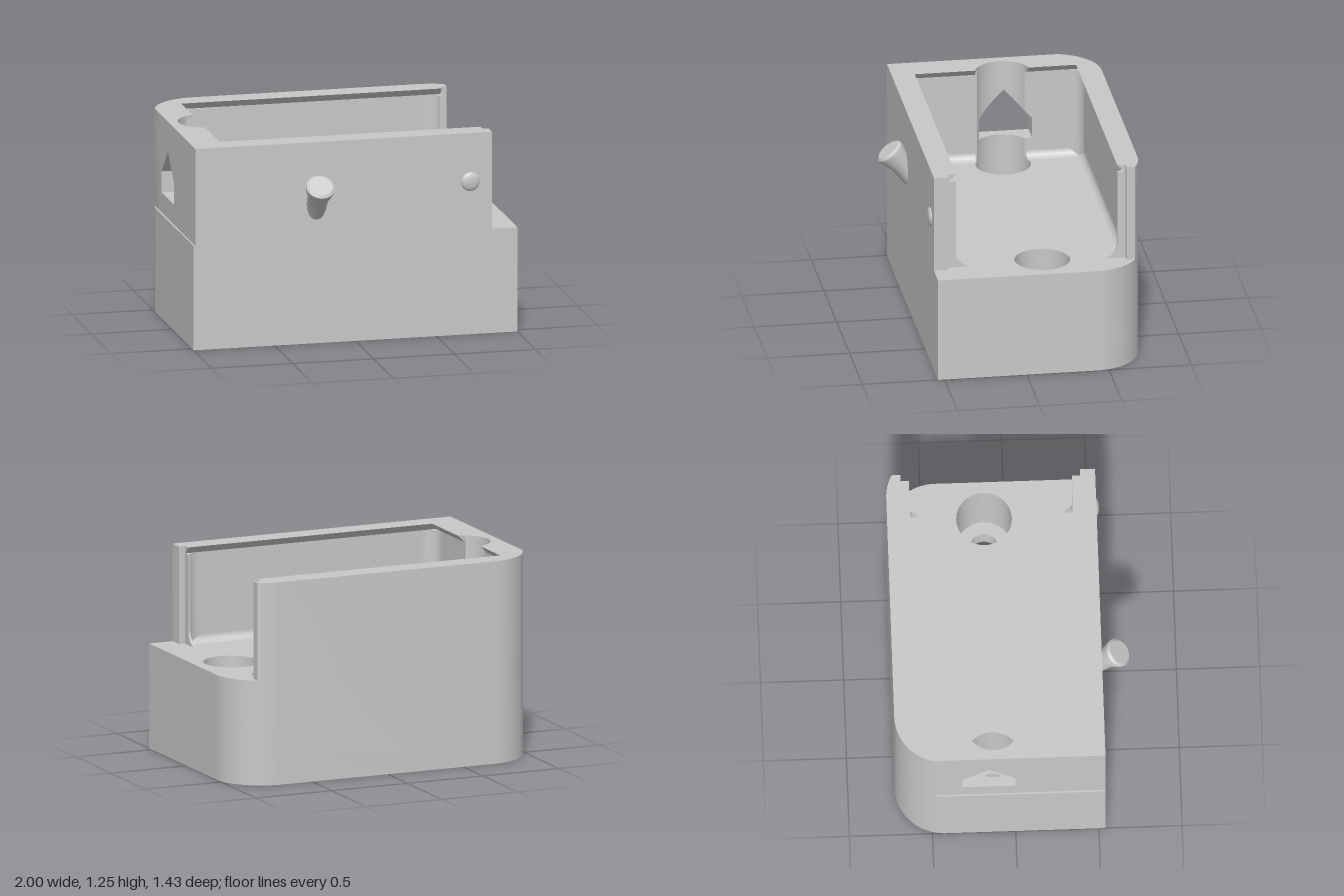
import * as THREE from 'three';
import { toCreasedNormals } from 'three/addons/utils/BufferGeometryUtils.js';

const STEP = 0.645, GROOVE = 1.2, TOP = 1.245;     // main heights
const BACK = -0.58, FRONT = 0.4, LEFT = -0.805;    // edges of the top opening
const UNDER = 0.045;                               // how far the cavity reaches under the rim
const BORE_X = 0.765, BORE_Z = -0.13, BORE_R = 0.167;
const WALL_X = -0.99;

export function createModel() {
  const group = new THREE.Group();
  const grey = new THREE.MeshStandardMaterial({ color: 0xc8c8c8 });
  grey.name = 'grey';

  const add = (name, geometry) => {
    const flat = geometry.index ? geometry.toNonIndexed() : geometry;
    const mesh = new THREE.Mesh(toCreasedNormals(flat, 0.5), grey);
    mesh.name = name;
    group.add(mesh);
  };

  // Horizontal slab from a plan shape whose coordinates are (x, z)
  const slab = (shape, y0, y1) => new THREE.ExtrudeGeometry(shape,
    { depth: y1 - y0, bevelEnabled: false, curveSegments: 24 })
    .rotateX(Math.PI / 2).translate(0, y1, 0);

  // Solid base with two counterbored screw holes
  const basePlan = (radius) => {
    const s = new THREE.Shape();
    s.moveTo(-1, 0.54);
    s.lineTo(-1, -0.42);
    s.absarc(-0.7, -0.42, 0.3, Math.PI, Math.PI * 1.5, false);
    s.lineTo(0.7, -0.72);
    s.absarc(0.7, -0.42, 0.3, -Math.PI / 2, 0, false);
    s.lineTo(1, 0.54);
    for (const side of [-1, 1]) {
      const hole = new THREE.Path();
      hole.absarc(side * BORE_X, BORE_Z, radius, 0, Math.PI * 2, true);
      s.holes.push(hole);
    }
    return s;
  };
  add('baseFloor', slab(basePlan(0.09), 0, 0.13));
  add('baseBlock', slab(basePlan(BORE_R), 0.13, STEP));

  // Back and front walls, each with its part of the end wall; d widens the cavity
  const backPlan = (d) => {
    const s = new THREE.Shape();
    s.moveTo(LEFT - d, -0.33);
    s.lineTo(WALL_X, -0.33);
    s.absarc(-0.7, -0.42, 0.3, Math.PI + 0.259, Math.PI * 1.5, false);
    s.lineTo(0.7, -0.72);
    s.absarc(0.7, -0.42, 0.3, -Math.PI / 2, -1.066, false);
    s.lineTo(0.845, -0.63);
    s.lineTo(0.805, -0.63);
    s.lineTo(0.805, BACK - d);
    s.lineTo(LEFT - d, BACK - d);
    return s;
  };
  const frontPlan = (d) => new THREE.Shape([[WALL_X, 0.04], [LEFT - d, 0.04], [LEFT - d, FRONT + d],
    [0.805, FRONT + d], [0.805, 0.45], [0.845, 0.45], [0.845, 0.54], [WALL_X, 0.54]]
    .map(p => new THREE.Vector2(...p)));

  // Rim whose lower inner edge is cut back into a dovetail lid groove
  const rim = (shape) => {
    const g = slab(shape, GROOVE, TOP), p = g.attributes.position;
    const near = (a, b) => Math.abs(a - b) < 1e-4;
    for (let i = 0; i < p.count; i++) {
      if (!near(p.getY(i), GROOVE)) continue;
      const x = p.getX(i), z = p.getZ(i);
      if (near(x, LEFT)) p.setX(i, x - UNDER);
      if (near(z, BACK)) p.setZ(i, z - UNDER);
      if (near(z, FRONT)) p.setZ(i, z + UNDER);
    }
    return g;
  };
  for (const [name, plan] of [['back', backPlan], ['front', frontPlan]]) {
    add(name + 'Wall', slab(plan(UNDER), STEP, GROOVE));
    add(name + 'Rim', rim(plan(0)));
  }

  // Middle of the end wall: vertical strips following the bore, with a gabled window
  const verts = [];
  const quad = (a, b, c, d) => verts.push(...a, ...b, ...c, ...a, ...c, ...d);
  const inner = (z, y) => {
    const wall = LEFT - UNDER * Math.min(1, (TOP - y) / (TOP - GROOVE));
    return Math.min(wall, -BORE_X - Math.sqrt(Math.max(0, BORE_R ** 2 - (z - BORE_Z) ** 2)));
  };
  const piece = (za, zb, low, high) => {
    const ring = (x) => [[low, za], [low, zb], [high, zb], [high, za]]
      .map(([level, z]) => [x(z, level(z)), level(z), z]);
    const o = ring(() => WALL_X), n = ring(inner);
    quad(o[0], o[1], o[2], o[3]);
    quad(n[3], n[2], n[1], n[0]);
    quad(o[2], n[2], n[3], o[3]);
    quad(o[0], n[0], n[1], o[1]);
    quad(o[1], n[1], n[2], o[2]);
    quad(n[0], o[0], o[3], n[3]);
  };
  const cuts = [-0.33, -0.32, -0.292, -0.274, -0.16, 0, 0.014, 0.032, 0.04];
  for (let i = 1; i < 24; i++) cuts.push(BORE_Z - 0.162 * Math.cos(Math.PI * i / 24));
  cuts.sort((a, b) => a - b);
  const bottom = () => STEP, groove = () => GROOVE, top = () => TOP, sill = () => 0.77;
  const gable = (z) => 1.06 - Math.abs(z + 0.16);
  for (let i = 0; i + 1 < cuts.length; i++) {
    const [za, zb] = [cuts[i], cuts[i + 1]], mid = (za + zb) / 2;
    if (zb - za < 1e-5) continue;
    if (mid > -0.32 && mid < 0) {
      piece(za, zb, bottom, sill);
      piece(za, zb, gable, groove);
    } else piece(za, zb, bottom, groove);
    piece(za, zb, groove, top);
  }
  const strips = new THREE.BufferGeometry();
  strips.setAttribute('position', new THREE.Float32BufferAttribute(verts, 3));
  add('windowWall', strips);

  // Concave fillets: a and b point away from the corner, their lengths are the radii
  const cove = new THREE.Shape();
  cove.moveTo(0, 0);
  cove.lineTo(1, 0);
  cove.absarc(1, 1, 1, -Math.PI / 2, -Math.PI, true);
  cove.closePath();
  const fillet = (name, a, b, position, length) => {
    const [va, vb] = [new THREE.Vector3(...a), new THREE.Vector3(...b)];
    const g = new THREE.ExtrudeGeometry(cove, { depth: length, bevelEnabled: false, curveSegments: 10 });
    g.applyMatrix4(new THREE.Matrix4().makeBasis(va, vb, va.clone().cross(vb).normalize()));
    add(name, g.translate(...position));
  };
  const R = 0.05, C = 0.09, END = 0.79, HEIGHT = GROOVE - STEP;
  const x0 = LEFT - UNDER, z0 = BACK - UNDER, z1 = FRONT + UNDER;
  fillet('backFloorFillet', [0, 0, R], [0, R, 0], [END, STEP, z0], END - x0);
  fillet('frontFloorFillet', [0, 0, -R], [0, R, 0], [x0, STEP, z1], END - x0);
  fillet('endFloorFillet', [R, 0, 0], [0, R, 0], [x0, STEP, z0], 0.34);
  fillet('endFloorFillet', [R, 0, 0], [0, R, 0], [x0, STEP, 0.025], z1 - 0.025);
  fillet('backCornerFillet', [0, 0, C], [C, 0, 0], [x0, STEP, z0], HEIGHT);
  fillet('frontCornerFillet', [C, 0, 0], [0, 0, -C], [x0, STEP, z1], HEIGHT);

  // Thin lips at the open end, with rounded feet and fillets behind them
  for (const z of [BACK - UNDER / 2, FRONT + UNDER / 2]) {
    add('endLip', new THREE.BoxGeometry(0.015, HEIGHT, UNDER).translate(0.7975, STEP + HEIGHT / 2, z));
  }
  fillet('backLipFoot', [0, 0, C], [0, C, 0], [0.805, STEP, BACK], 0.015);
  fillet('frontLipFoot', [0, 0, -C], [0, C, 0], [END, STEP, FRONT], 0.015);
  fillet('backLipFillet', [-C, 0, 0], [0, 0, UNDER], [END, STEP, z0], HEIGHT);
  fillet('frontLipFillet', [0, 0, -UNDER], [-C, 0, 0], [END, STEP, z1], HEIGHT);

  // Slanted flared peg on the front
  const peg = new THREE.LatheGeometry([[0, -0.25], [0.06, -0.25], [0.064, -0.11], [0.088, -0.03],
    [0.088, -0.012], [0.072, 0], [0, 0]].map(p => new THREE.Vector2(...p)), 24);
  peg.rotateX(Math.atan2(0.62, 0.79));
  add('peg', peg.translate(-0.24, 1.0, 0.65));

  // Small round button on the front
  const button = new THREE.SphereGeometry(0.058, 24, 12).scale(1, 1, 0.35);
  add('button', button.translate(0.71, 0.945, 0.54));

  return group;
}
